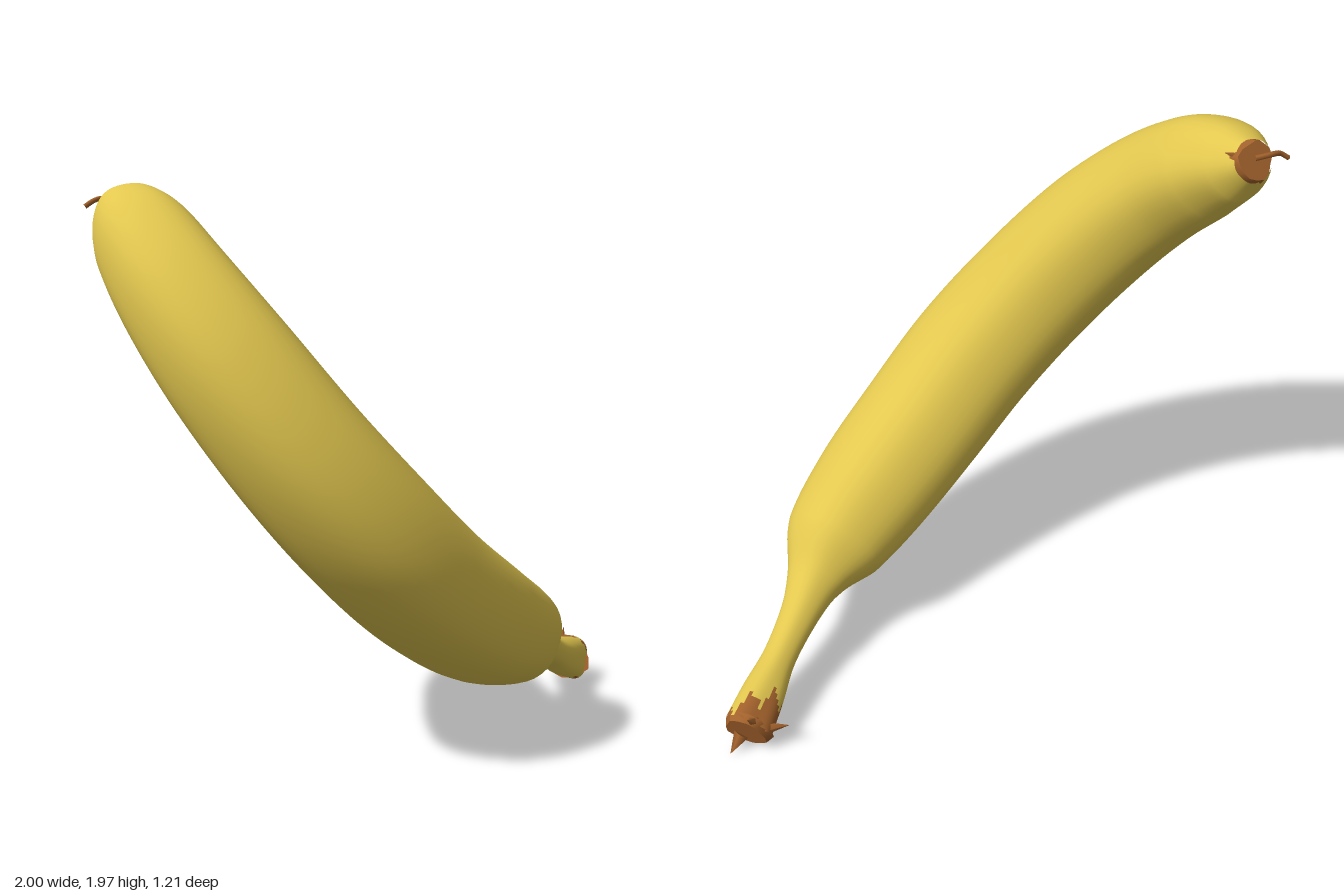
import * as THREE from 'three';

// Centre line and radius, from blossom tip to stem end: x, y, z, r
const STATIONS = [
  [-0.87, 1.91, -0.335, 0.07],
  [-0.855, 1.865, -0.25, 0.13],
  [-0.82, 1.78, -0.11, 0.178],
  [-0.74, 1.61, 0.08, 0.206],
  [-0.60, 1.38, 0.24, 0.228],
  [-0.39, 1.09, 0.345, 0.24],
  [-0.17, 0.84, 0.357, 0.246],
  [0.05, 0.63, 0.285, 0.242],
  [0.28, 0.465, 0.16, 0.228],
  [0.475, 0.36, 0.01, 0.188],
  [0.575, 0.30, -0.095, 0.108],
  [0.65, 0.255, -0.19, 0.073],
  [0.76, 0.185, -0.32, 0.06],
  [0.85, 0.13, -0.43, 0.076],
  [0.93, 0.09, -0.535, 0.083],
];
const PLANE = new THREE.Vector3(-1.477, -1.382, -0.645).normalize(); // normal of the bend
const STEPS = 8, SIDES = 40;

const path = new THREE.CatmullRomCurve3(STATIONS.map(([x, y, z]) => new THREE.Vector3(x, y, z)));
const girth = new THREE.CatmullRomCurve3(
  STATIONS.map((s, i) => new THREE.Vector3(i, s[3], 0)), false, 'catmullrom', 0.5);

// Lofted skin; group 0 is peel, group 1 the ragged dry stem end
function peelGeometry() {
  const segments = STATIONS.length - 1;
  const rings = segments * STEPS;
  const positions = [], peel = [], dry = [];
  for (let i = 0; i <= rings; i++) {
    const t = i / rings;
    const centre = path.getPoint(t);
    const tangent = path.getTangent(t);
    const outer = PLANE.clone().cross(tangent).normalize();
    const side = tangent.clone().cross(outer).normalize();
    const knob = Math.max(0, (t * segments - 12.3) / 1.7); // lumpy flare at the stem end
    for (let j = 0; j < SIDES; j++) {
      const a = (j / SIDES) * Math.PI * 2;
      const lumps = 1 + 0.018 * Math.cos(5 * a) + 0.1 * knob * Math.sin(3 * a + 1);
      const r = girth.getPoint(t).y * lumps;
      const p = centre.clone()
        .addScaledVector(outer, r * Math.cos(a))
        .addScaledVector(side, r * Math.sin(a));
      positions.push(p.x, p.y, p.z);
      if (i === rings) continue;
      const depth = 0.45 - 0.4 * Math.cos(a) + 0.3 * Math.sin(a) + 0.22 * Math.sin(7 * a) + 0.12 * Math.sin(13 * a);
      const faces = t * segments > segments - Math.max(0.1, depth) ? dry : peel;
      const k = (j + 1) % SIDES, row = i * SIDES, next = row + SIDES;
      faces.push(row + j, row + k, next + j, row + k, next + k, next + j);
    }
  }
  const geometry = new THREE.BufferGeometry();
  geometry.setAttribute('position', new THREE.Float32BufferAttribute(positions, 3));
  geometry.setIndex([...peel, ...dry]);
  geometry.addGroup(0, peel.length, 0);
  geometry.addGroup(peel.length, dry.length, 1);
  geometry.computeVertexNormals();
  return geometry;
}

// Rough-edged disc closing one end, facing along dir
function endCap(name, centre, dir, radius, height, material) {
  const geometry = new THREE.CylinderGeometry(radius * 0.85, radius, height, 14);
  const p = geometry.attributes.position;
  for (let i = 0; i < p.count; i++) {
    const a = Math.atan2(p.getZ(i), p.getX(i));
    const f = 1 + 0.07 * Math.sin(3 * a + 1) + 0.05 * Math.sin(5 * a);
    p.setXYZ(i, p.getX(i) * f, p.getY(i), p.getZ(i) * f);
  }
  geometry.computeVertexNormals();
  const mesh = new THREE.Mesh(geometry, material);
  mesh.name = name;
  mesh.position.copy(centre);
  mesh.quaternion.setFromUnitVectors(new THREE.Vector3(0, 1, 0), dir);
  return mesh;
}

// Torn fibre tapering from one point to another
function shred(name, from, to, radius, material) {
  const a = new THREE.Vector3(...from), b = new THREE.Vector3(...to);
  const mesh = new THREE.Mesh(new THREE.ConeGeometry(radius, a.distanceTo(b), 5), material);
  mesh.name = name;
  mesh.position.copy(a).lerp(b, 0.5);
  mesh.quaternion.setFromUnitVectors(new THREE.Vector3(0, 1, 0), b.sub(a).normalize());
  return mesh;
}

export function createModel() {
  const yellow = new THREE.MeshStandardMaterial({ color: 0xe2c74f });
  yellow.name = 'peelYellow';
  const brown = new THREE.MeshStandardMaterial({ color: 0xa3622c });
  brown.name = 'dryBrown';

  const banana = new THREE.Group();
  banana.name = 'banana';
  const body = new THREE.Mesh(peelGeometry(), [yellow, brown]);
  body.name = 'peel';
  banana.add(body);

  // Dry caps at both ends
  banana.add(endCap('blossomTip', path.getPoint(0), path.getTangent(0).negate(), 0.073, 0.03, brown));
  banana.add(endCap('stemEnd', path.getPoint(1), path.getTangent(1), 0.088, 0.03, brown));

  // Curled fibre at the blossom tip
  const curl = new THREE.CatmullRomCurve3([
    new THREE.Vector3(-0.87, 1.925, -0.345),
    new THREE.Vector3(-0.93, 1.93, -0.345),
    new THREE.Vector3(-0.965, 1.92, -0.33),
    new THREE.Vector3(-0.995, 1.9, -0.33),
  ]);
  const fibre = new THREE.Mesh(new THREE.TubeGeometry(curl, 12, 0.009, 6), brown);
  fibre.name = 'tipFibre';
  banana.add(fibre);
  banana.add(shred('tipShred', [-0.84, 1.92, -0.32], [-0.77, 1.95, -0.325], 0.018, brown));

  // Torn shreds round the stem end
  banana.add(shred('stemShredTop', [0.9, 0.13, -0.55], [0.935, 0.2, -0.6], 0.025, brown));
  banana.add(shred('stemShredBack', [0.88, 0.1, -0.56], [0.79, 0.12, -0.59], 0.025, brown));
  banana.add(shred('stemShredLow', [0.95, 0.06, -0.53], [1.0, 0.01, -0.56], 0.03, brown));
  return banana;
}
